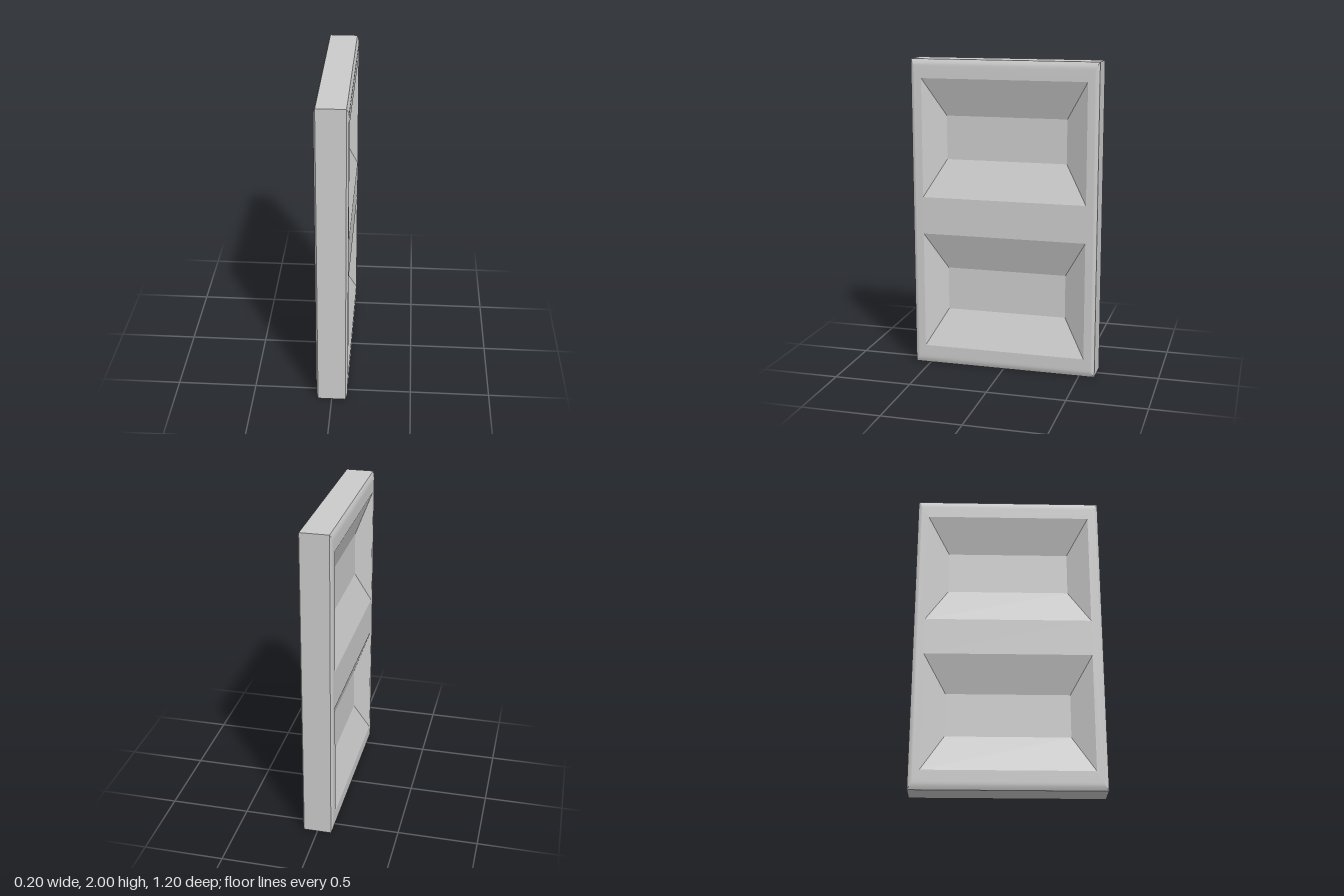
import * as THREE from 'three';
import { mergeGeometries, toCreasedNormals } from 'three/addons/utils/BufferGeometryUtils.js';

const HALF_W = 0.6, HALF_H = 1, FACE = 0.1, EDGE = 0.087;
const ROUND_W = 0.03, ROUND_H = 0.05, STEPS = 4;
const OPEN_W = 0.53, OPEN_H = 0.38, FLOOR_W = 0.39, FLOOR_H = 0.14, DEPTH = 0.083;

// The four corners of a centred rectangle, counter-clockwise.
const corners = (w, h) => [[-w, -h], [w, -h], [w, h], [-w, h]];

// Joins rectangles [halfWidth, halfHeight, depth] in order; cap fills the last one.
function loft(rings, cap = false) {
  const p = [];
  const loops = rings.map(([w, h, d]) => corners(w, h).map(([x, y]) => [x, y, d]));
  for (let k = 0; k + 1 < loops.length; k++) {
    const a = loops[k], b = loops[k + 1];
    for (let i = 0; i < 4; i++) {
      const j = (i + 1) % 4;
      p.push(...a[i], ...a[j], ...b[j], ...a[i], ...b[j], ...b[i]);
    }
  }
  if (cap) {
    const c = loops[loops.length - 1];
    p.push(...c[0], ...c[1], ...c[2], ...c[0], ...c[2], ...c[3]);
  }
  const g = new THREE.BufferGeometry();
  g.setAttribute('position', new THREE.Float32BufferAttribute(p, 3));
  g.computeVertexNormals();
  return g;
}

// Flat face with two openings, and its softly rounded border.
function faceGeometry() {
  const toPoints = (w, h, y) => corners(w, h).map(([a, b]) => new THREE.Vector2(a, b + y));
  const shape = new THREE.Shape(toPoints(HALF_W - ROUND_W, HALF_H - ROUND_H, 0));
  for (const y of [-0.5, 0.5]) shape.holes.push(new THREE.Path(toPoints(OPEN_W, OPEN_H, y).reverse()));
  const flat = new THREE.ShapeGeometry(shape).toNonIndexed();
  flat.deleteAttribute('uv');
  flat.translate(0, 0, FACE);

  const rings = [];
  for (let i = 0; i <= STEPS; i++) {
    const t = i / STEPS;
    rings.push([HALF_W - ROUND_W * t, HALF_H - ROUND_H * t, EDGE + (FACE - EDGE) * (1 - (1 - t) ** 2)]);
  }
  return toCreasedNormals(mergeGeometries([flat, loft(rings)]), 0.25);
}

export function createModel() {
  const model = new THREE.Group();
  model.name = 'panel';
  const material = new THREE.MeshStandardMaterial({ color: 0xcccccc });
  const add = (parent, name, geometry, y = 0) => {
    const mesh = new THREE.Mesh(geometry, material);
    mesh.name = name;
    mesh.position.y = y;
    parent.add(mesh);
  };

  const face = faceGeometry();
  const recess = loft([[OPEN_W, OPEN_H, FACE], [FLOOR_W, FLOOR_H, FACE - DEPTH]], true);

  // Both broad sides, each with two sloped recesses
  for (const [name, turn] of [['leftSide', 1], ['rightSide', -1]]) {
    const side = new THREE.Group();
    side.name = name;
    side.rotation.y = turn * Math.PI / 2;
    side.position.y = HALF_H;
    add(side, 'face', face);
    add(side, 'lowerRecess', recess, -0.5);
    add(side, 'upperRecess', recess, 0.5);
    model.add(side);
  }

  // Flat band around the outer edge
  const band = loft([[HALF_W, HALF_H, -EDGE], [HALF_W, HALF_H, EDGE]]);
  band.rotateY(Math.PI / 2);
  add(model, 'edgeBand', band, HALF_H);
  return model;
}
